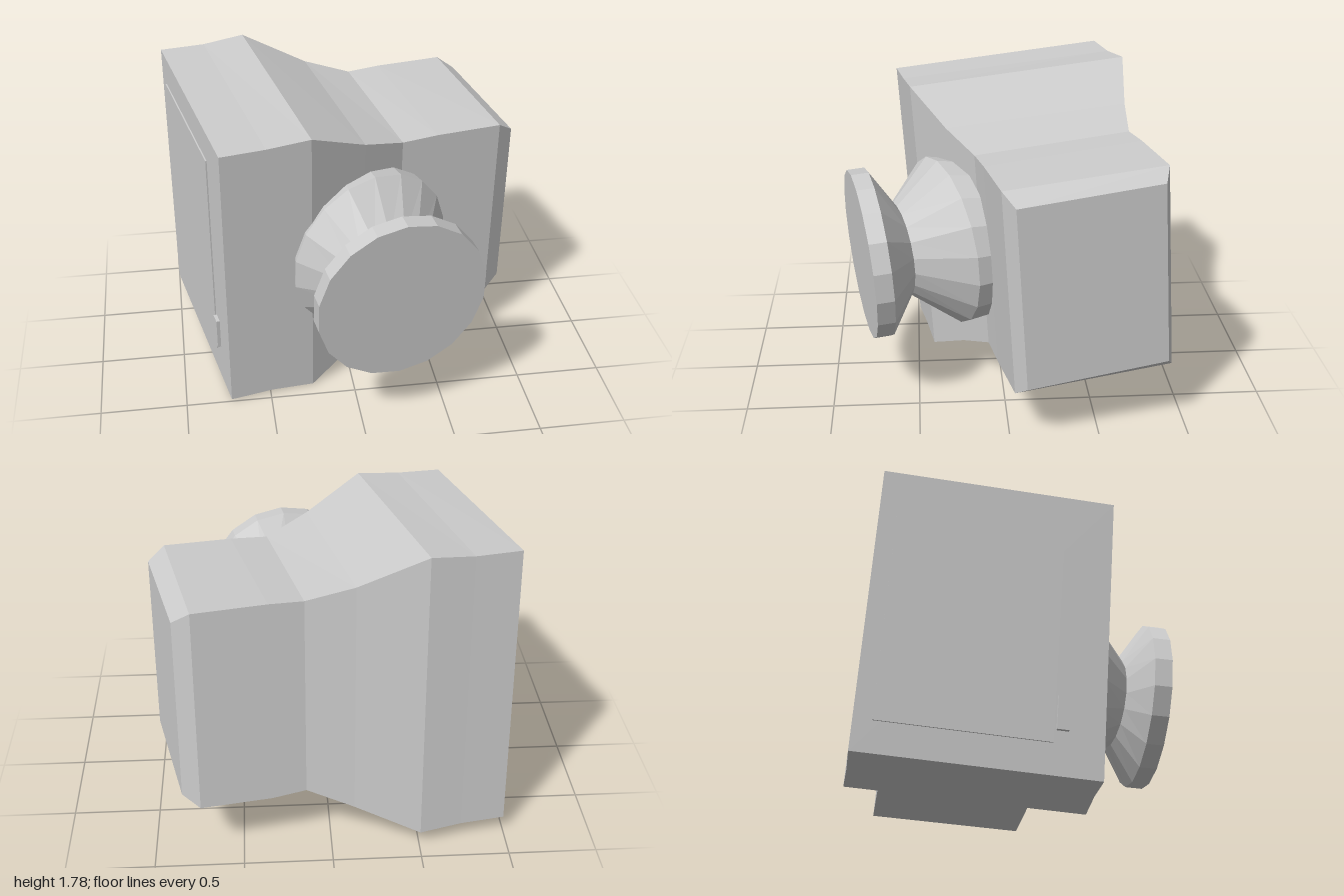
import * as THREE from 'three';

const V = (x, y, z) => new THREE.Vector3(x, y, z);

// Skin over a series of cross-sections, counter-clockwise seen from the last one, capped at both ends
function loft(name, rings, material) {
  const n = rings[0].length, pos = [];
  const tri = (...pts) => pts.forEach(p => pos.push(p.x, p.y, p.z));
  for (let i = 0; i < rings.length - 1; i++) {
    for (let j = 0; j < n; j++) {
      const k = (j + 1) % n, a = rings[i], b = rings[i + 1];
      tri(a[j], a[k], b[k]);
      tri(a[j], b[k], b[j]);
    }
  }
  const first = rings[0], last = rings[rings.length - 1];
  for (let j = 1; j < n - 1; j++) {
    tri(first[0], first[j + 1], first[j]);
    tri(last[0], last[j], last[j + 1]);
  }
  const geo = new THREE.BufferGeometry();
  geo.setAttribute('position', new THREE.Float32BufferAttribute(pos, 3));
  geo.computeVertexNormals();
  const mesh = new THREE.Mesh(geo, material);
  mesh.name = name;
  return mesh;
}

const LEAN = 0.064; // forward lean of every upright edge
const drop = (p, h) => V(p.x, p.y - h, p.z - LEAN * h);

// Round section facing forward, turned by yaw and tipped slightly down
function disc([x, y, z], r, yaw) {
  const a = THREE.MathUtils.degToRad(yaw), pitch = 0.065, sides = 18;
  const right = V(Math.cos(a), 0, -Math.sin(a));
  const normal = V(Math.sin(a) * Math.cos(pitch), -Math.sin(pitch), Math.cos(a) * Math.cos(pitch));
  const up = normal.clone().cross(right);
  return Array.from({ length: sides }, (_, i) => {
    const t = Math.PI / 2 + i * 2 * Math.PI / sides;
    return V(x, y, z).addScaledVector(right, r * Math.cos(t)).addScaledVector(up, r * Math.sin(t));
  });
}

export function createModel() {
  const group = new THREE.Group();
  const grey = new THREE.MeshStandardMaterial({ color: 0xcccccc, flatShading: true });
  grey.name = 'grey';

  // Body sections from the big end to the small end: front top, back top, height
  const sections = [
    [V(-0.735, 1.68, 0.595), V(-1, 1.765, -0.68), 1.67],
    [V(-0.485, 1.685, 0.55), V(-0.745, 1.765, -0.73), 1.665],
    [V(-0.24, 1.705, 0.51), V(-0.505, 1.79, -0.785), 1.70],
    [V(0.08, 1.55, 0.31), V(-0.13, 1.61, -0.745), 1.365],
    [V(0.32, 1.47, 0.16), V(0.14, 1.53, -0.73), 1.175],
    [V(0.53, 1.482, 0.12), V(0.33, 1.54, -0.77), 1.2],
    [V(0.91, 1.485, 0.05), V(0.73, 1.54, -0.85), 1.19],
    [V(1, 1.42, -0.02), V(0.83, 1.475, -0.82), 1.055],
  ];
  group.add(loft('body', sections.map(([f, b, h]) => [f, drop(f, h), drop(b, h), b]), grey));

  // Lens: embedded base, flared hub, narrow neck, wide front disc
  group.add(loft('lens', [
    disc([0.1, 0.88, 0.22], 0.48, 22),
    disc([0.115, 0.875, 0.335], 0.5, 22),
    disc([0.17, 0.85, 0.585], 0.27, 17),
    disc([0.2, 0.847, 0.72], 0.495, 11.6),
    disc([0.215, 0.84, 0.82], 0.495, 11.6),
  ], grey));

  // Plates on the flat end: u runs front to back, v top to bottom
  const [front, back, height] = sections[0];
  const outward = V(-0.977, 0, 0.2);
  const plate = (name, u0, u1, v0, v1, depth) => {
    const ring = d => [[u0, v0], [u1, v0], [u1, v1], [u0, v1]].map(([u, v]) =>
      drop(front.clone().lerp(back, u), v * height).addScaledVector(outward, d));
    group.add(loft(name, [ring(-0.005), ring(depth)], grey));
  };
  plate('door', 0.21, 0.925, 0.107, 0.893, 0.008);
  plate('latch', 0.15, 0.2, 0.735, 0.85, 0.02);

  return group;
}
